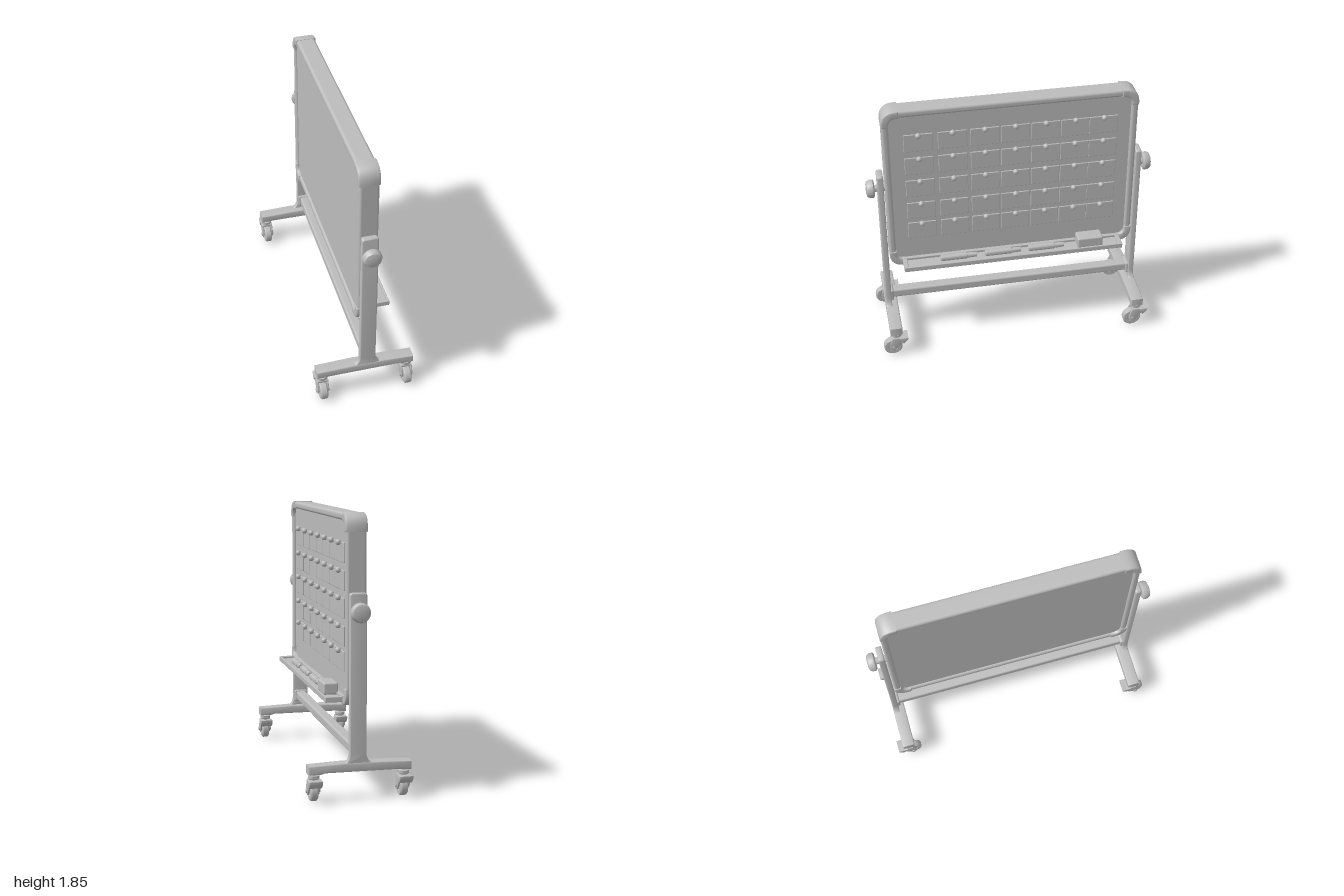
import * as THREE from 'three';
import { toCreasedNormals } from 'three/addons/utils/BufferGeometryUtils.js';
import { RoundedBoxGeometry } from 'three/addons/geometries/RoundedBoxGeometry.js';

const grey = new THREE.MeshStandardMaterial({ color: 0xbcbcbc });
grey.name = 'plain grey';

function add(parent, name, geometry, x = 0, y = 0, z = 0) {
  const mesh = new THREE.Mesh(geometry, grey);
  mesh.name = name;
  mesh.position.set(x, y, z);
  parent.add(mesh);
  return mesh;
}

const box = (w, h, d, r = 0.008) => new RoundedBoxGeometry(w, h, d, 3, r);

// Extrusion centred on its depth, with softened edges inside the outline
function slab(shape, depth, bevel = 0.006) {
  const g = new THREE.ExtrudeGeometry(shape, {
    depth: depth - 2 * bevel, bevelEnabled: bevel > 0, bevelSize: bevel, bevelOffset: -bevel,
    bevelThickness: bevel, bevelSegments: 3, curveSegments: 8,
  });
  g.translate(0, 0, -depth / 2 + bevel);
  return toCreasedNormals(g, 0.6);
}

// Same, but the outline lies in the side plane: shape x runs along -z
const sideSlab = (shape, depth, bevel) => slab(shape, depth, bevel).rotateY(Math.PI / 2);

const polygon = (points) => new THREE.Shape(points.map(([x, y]) => new THREE.Vector2(x, y)));

const MID = 0.016;            // x of the board's middle plane
const TOP = 1.85, BOTTOM = 0.605, HALF = 0.875;

function makeBoard() {
  const board = new THREE.Group();
  board.name = 'board';
  const cy = (TOP + BOTTOM) / 2;
  const h = TOP - BOTTOM;
  add(board, 'panel', new THREE.BoxGeometry(0.095, h - 0.07, 2 * HALF - 0.07), 0.013, cy, 0);

  // Frame rails with rounded edges
  for (const s of [-1, 1]) {
    add(board, 'frameRail', box(0.132, 0.052, 1.56, 0.02), MID, cy + s * (h / 2 - 0.028), 0);
    add(board, 'frameSide', box(0.132, h - 0.2, 0.046, 0.018), MID, cy, s * (HALF - 0.026));
  }

  // Rounded corner caps, a little proud of the rails
  const corner = new THREE.Shape();
  corner.moveTo(0, -0.12);
  corner.lineTo(0, -0.095);
  corner.quadraticCurveTo(-0.004, -0.004, -0.095, 0);
  corner.lineTo(-0.12, 0);
  corner.lineTo(-0.12, -0.054);
  corner.lineTo(-0.105, -0.054);
  corner.quadraticCurveTo(-0.05, -0.055, -0.05, -0.11);
  corner.lineTo(-0.05, -0.12);
  const cap = sideSlab(corner, 0.144, 0.01);
  for (const turn of [0, Math.PI]) {
    for (const up of [1, -1]) {
      const m = add(board, 'cornerCap', cap, MID, up > 0 ? TOP : BOTTOM, 0);
      // Turning about x or y places the same cap in all four corners
      const flipZ = turn > 0;
      m.position.z = flipZ ? HALF : -HALF;
      if (up > 0) m.rotation.y = turn;
      else m.rotation.set(Math.PI, flipZ ? 0 : Math.PI, 0);
    }
  }

  // Calendar of cards, each held by a magnet
  const columns = [0.633, 0.402, 0.182, -0.027, -0.236, -0.44, -0.638];
  const rows = [1.523, 1.342, 1.163, 0.98, 0.815];
  const magnet = new THREE.SphereGeometry(0.02, 12, 8);
  const card = box(0.01, 0.132, 0.198, 0.004);
  for (const z of columns) {
    for (const y of rows) {
      add(board, 'card', card, 0.063, y + 0.066, z);
      add(board, 'magnet', magnet, 0.081, y + 0.128, z);
    }
  }
  return board;
}

function makeTray() {
  const tray = new THREE.Group();
  tray.name = 'penTray';
  add(tray, 'trayFloor', box(0.125, 0.022, 1.57, 0.005), 0.138, 0.636, 0);
  add(tray, 'trayLip', box(0.014, 0.037, 1.57, 0.005), 0.194, 0.6435, 0);
  add(tray, 'trayBack', box(0.02, 0.05, 1.57, 0.005), 0.082, 0.64, 0);
  for (const s of [-1, 1])
    add(tray, 'trayEnd', box(0.125, 0.037, 0.03, 0.005), 0.138, 0.6435, s * 0.77);

  // Markers with a narrower cap end, and an eraser
  const outline = [[0, -0.128], [0.017, -0.128], [0.019, -0.06], [0.023, -0.058],
    [0.023, 0.122], [0.018, 0.128], [0, 0.128]].map(([r, y]) => new THREE.Vector2(r, y));
  const marker = toCreasedNormals(new THREE.LatheGeometry(outline, 16), 0.6).rotateX(Math.PI / 2);
  for (const z of [-0.235, 0.077, 0.395]) add(tray, 'marker', marker, 0.14, 0.67, z);
  add(tray, 'eraser', box(0.1, 0.08, 0.184, 0.012), 0.13, 0.686, -0.553);
  return tray;
}

function makeCaster() {
  const caster = new THREE.Group();
  caster.name = 'caster';
  const lathe = (pts) => toCreasedNormals(
    new THREE.LatheGeometry(pts.map(([r, y]) => new THREE.Vector2(r, y)), 24), 0.6);
  add(caster, 'swivel', lathe([[0, 0.13], [0.026, 0.13], [0.028, 0.15], [0.038, 0.158],
    [0.038, 0.178], [0.026, 0.184], [0.026, 0.2], [0, 0.2]]));
  const wheel = lathe([[0, -0.024], [0.03, -0.02], [0.036, -0.025], [0.058, -0.025], [0.066, -0.017],
    [0.066, 0.017], [0.058, 0.025], [0.036, 0.025], [0.03, 0.02], [0, 0.024]]).rotateZ(Math.PI / 2);
  add(caster, 'wheel', wheel, 0, 0.066, 0.027);
  add(caster, 'axle', new THREE.CylinderGeometry(0.014, 0.014, 0.094, 14).rotateZ(Math.PI / 2), 0, 0.068, 0.027);

  // Fork cheeks, crown and brake lever
  const cheek = polygon([[-0.05, 0.06], [-0.038, 0.043], [-0.015, 0.043], [0.015, 0.08],
    [0.04, 0.115], [0.03, 0.15], [-0.028, 0.15], [-0.05, 0.1]]);
  for (const s of [-1, 1]) add(caster, 'forkCheek', sideSlab(cheek, 0.012, 0.003), s * 0.034);
  add(caster, 'forkCrown', box(0.078, 0.02, 0.06, 0.006), 0, 0.142, 0);
  const lever = polygon([[0.015, 0.152], [0.045, 0.15], [0.082, 0.152], [0.08, 0.135],
    [0.06, 0.11], [0.045, 0.1], [0.03, 0.125]]);
  add(caster, 'brakeLever', sideSlab(lever, 0.09, 0.004));
  return caster;
}

function makeStand() {
  const stand = new THREE.Group();
  stand.name = 'stand';

  // Upright that flares into the foot
  const post = new THREE.Shape();
  post.moveTo(-0.1, 0.22);
  post.lineTo(-0.1, 0.245);
  post.quadraticCurveTo(-0.045, 0.25, -0.041, 0.31);
  post.lineTo(-0.041, 1.33);
  post.quadraticCurveTo(-0.041, 1.35, -0.022, 1.35);
  post.lineTo(0.052, 1.35);
  post.quadraticCurveTo(0.071, 1.35, 0.071, 1.33);
  post.lineTo(0.071, 0.31);
  post.quadraticCurveTo(0.075, 0.25, 0.13, 0.24);
  post.lineTo(0.13, 0.22);

  // Foot beam, slimmer under the post
  const foot = new THREE.Shape();
  foot.moveTo(-0.343, 0.188);
  foot.lineTo(-0.343, 0.246);
  foot.lineTo(-0.1, 0.253);
  foot.lineTo(0.1, 0.253);
  foot.lineTo(0.343, 0.243);
  foot.lineTo(0.343, 0.186);
  foot.lineTo(0.26, 0.186);
  foot.lineTo(0.23, 0.194);
  foot.lineTo(-0.24, 0.194);

  const knobOutline = [[0, 0.85], [0.024, 0.85], [0.024, 0.943], [0.052, 0.943], [0.064, 0.952],
    [0.064, 0.975], [0.054, 0.994], [0.035, 1], [0, 1]].map(([r, y]) => new THREE.Vector2(r, y));
  const knob = toCreasedNormals(new THREE.LatheGeometry(knobOutline, 28), 0.6).rotateX(Math.PI / 2);

  for (const s of [-1, 1]) {
    add(stand, 'post', slab(post, 0.042, 0.008), 0, 0, s * 0.902);
    add(stand, 'foot', slab(foot, 0.088, 0.008), 0, 0, s * 0.882);
    add(stand, 'barCollar', box(0.1, 0.09, 0.045, 0.012), 0.015, 0.325, s * 0.885);
    add(stand, 'pivotKnob', knob, 0.014, 1.23, 0).rotation.y = s > 0 ? 0 : Math.PI;
    for (const x of [-0.3, 0.3]) {
      const caster = makeCaster();
      caster.position.set(x, 0, s * 0.882);
      stand.add(caster);
    }
  }
  add(stand, 'crossBar', box(0.075, 0.064, 1.76, 0.014), 0.015, 0.328, 0);
  return stand;
}

export function createModel() {
  const model = new THREE.Group();
  model.name = 'rollingCalendarBoard';
  model.add(makeBoard(), makeTray(), makeStand());
  return model;
}
